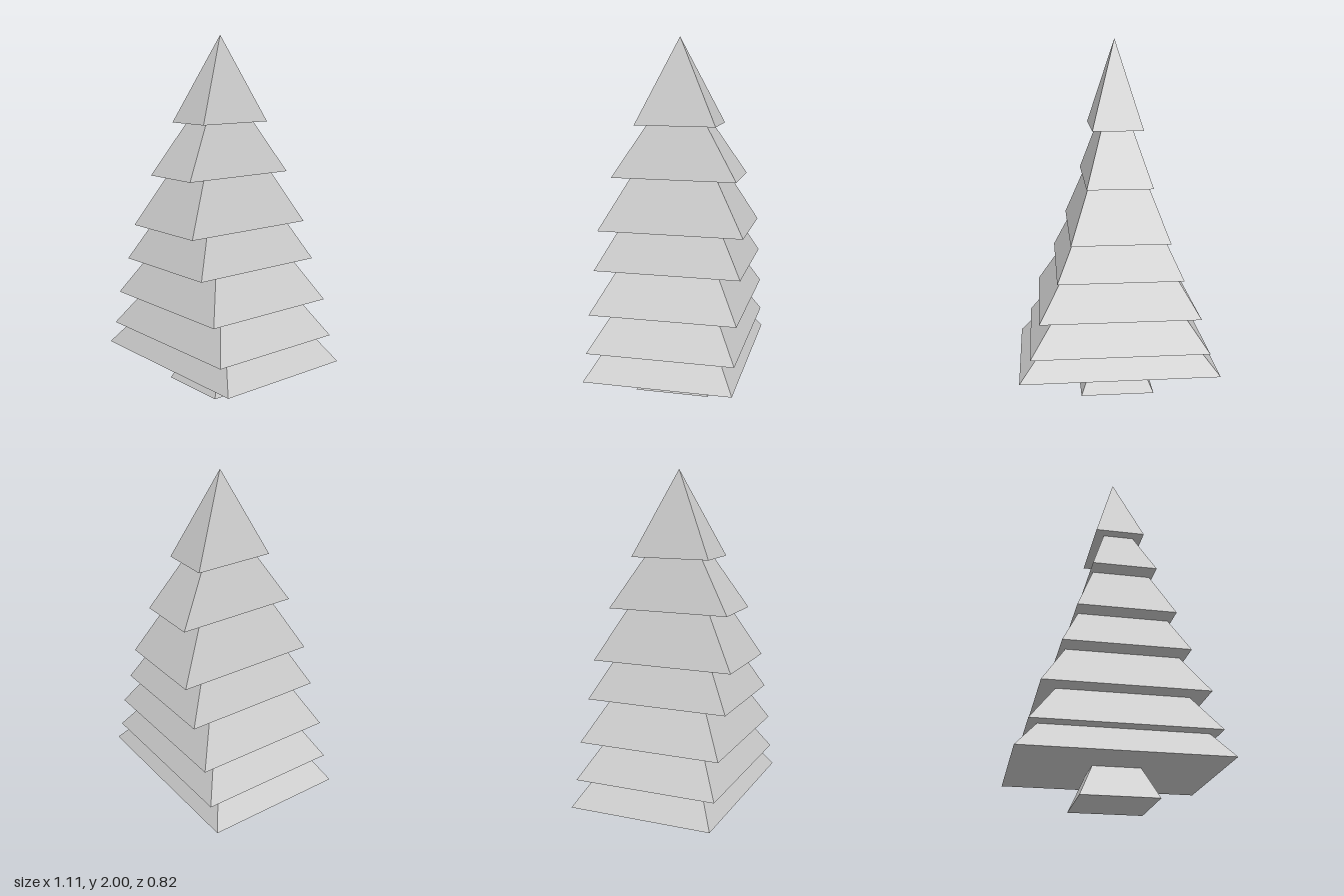
import * as THREE from 'three';

const material = new THREE.MeshStandardMaterial({ color: 0xcccccc, flatShading: true });

// Four-sided block with its own base and top half sizes; a top of 0 gives a pyramid
function taperedBlock(name, y, height, baseX, baseZ, topX = 0, topZ = 0) {
  const geometry = new THREE.BoxGeometry(2, height, 2).toNonIndexed();
  const p = geometry.attributes.position;
  for (let i = 0; i < p.count; i++) {
    const top = p.getY(i) > 0;
    p.setX(i, p.getX(i) * (top ? topX : baseX));
    p.setZ(i, p.getZ(i) * (top ? topZ : baseZ));
  }
  geometry.translate(0, y + height / 2, 0);
  geometry.computeVertexNormals();
  const mesh = new THREE.Mesh(geometry, material);
  mesh.name = name;
  return mesh;
}

export function createModel() {
  const tree = new THREE.Group();
  tree.name = 'tree';

  // Flared trunk, its top meeting the lowest branches
  tree.add(taperedBlock('trunk', 0, 0.18, 0.208, 0.211, 0.128, 0.11));

  // Branch tiers from bottom to top: base y, height, half width, half depth
  const tiers = [
    [0.176, 0.68, 0.555, 0.408],
    [0.314, 0.71, 0.493, 0.408],
    [0.516, 0.74, 0.44, 0.408],
    [0.739, 0.75, 0.34, 0.408],
    [0.947, 0.72, 0.266, 0.408],
    [1.234, 0.56, 0.177, 0.352],
    [1.524, 0.476, 0.138, 0.229],
  ];
  tiers.forEach(([y, height, x, z], i) => {
    tree.add(taperedBlock(`branchTier${i + 1}`, y, height, x, z));
  });
  return tree;
}
